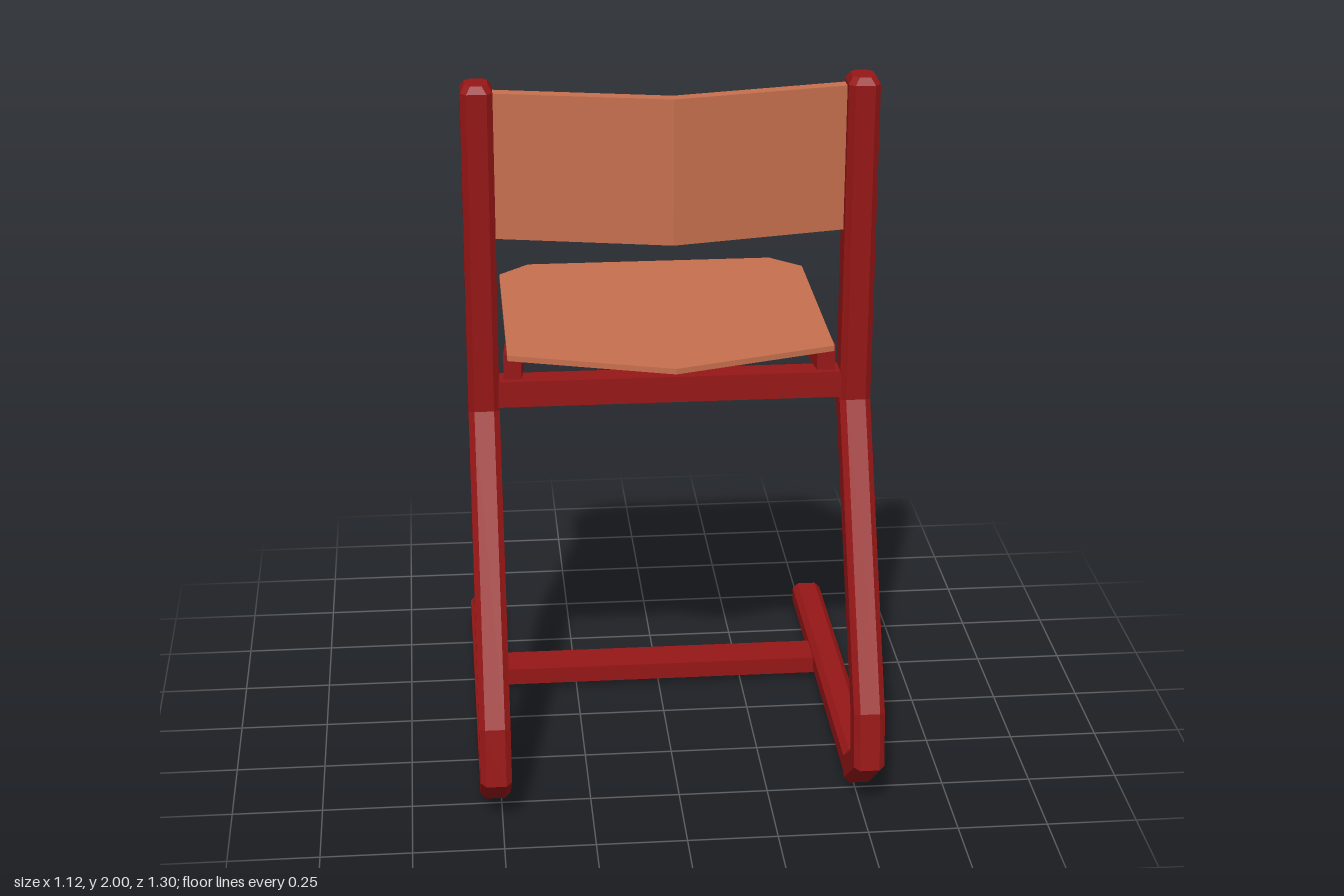
import * as THREE from 'three';

const red = new THREE.MeshStandardMaterial({ color: 0x961616, flatShading: true });
const wood = new THREE.MeshStandardMaterial({ color: 0xc8704f, flatShading: true });

function addMesh(group, name, geometry, material) {
  const mesh = new THREE.Mesh(geometry, material);
  mesh.name = name;
  group.add(mesh);
  return mesh;
}

function addBox(group, name, [w, h, d], [x, y, z]) {
  addMesh(group, name, new THREE.BoxGeometry(w, h, d), red).position.set(x, y, z);
}

// Horizontal plate: outline in [x, z], extruded from y0 upwards
function plate(points, y0, height, holes = []) {
  const flat = (list) => list.map(([x, z]) => new THREE.Vector2(x, -z));
  const shape = new THREE.Shape(flat(points));
  for (const hole of holes) shape.holes.push(new THREE.Path(flat(hole)));
  return new THREE.ExtrudeGeometry(shape, { depth: height, bevelEnabled: false })
    .rotateX(-Math.PI / 2)
    .translate(0, y0, 0);
}

// Bent bar with chamfered edges; each station gives its outer and inner edge [z, y]
function bentBar(stations, width) {
  const h = width / 2;
  const c = 0.016;
  const rings = stations.map(([oz, oy, iz, iy, inset = 0]) => {
    const len = Math.hypot(iz - oz, iy - oy);
    const lo = inset / len, hi = 1 - lo, e = c / len, w = h - inset;
    const section = [
      [-w + c, lo], [w - c, lo], [w, lo + e], [w, hi - e],
      [w - c, hi], [-w + c, hi], [-w, hi - e], [-w, lo + e],
    ];
    return section.map(([x, t]) => [x, oy + (iy - oy) * t, oz + (iz - oz) * t]);
  });
  const n = rings[0].length;
  const pos = [];
  const tri = (...corners) => corners.forEach((p) => pos.push(...p));
  for (let i = 0; i < rings.length - 1; i++) {
    for (let j = 0; j < n; j++) {
      const k = (j + 1) % n;
      tri(rings[i][j], rings[i + 1][j], rings[i + 1][k]);
      tri(rings[i][j], rings[i + 1][k], rings[i][k]);
    }
  }
  const first = rings[0], last = rings[rings.length - 1];
  for (let j = 1; j < n - 1; j++) {
    tri(first[0], first[j], first[j + 1]);
    tri(last[0], last[j + 1], last[j]);
  }
  const geometry = new THREE.BufferGeometry();
  geometry.setAttribute('position', new THREE.Float32BufferAttribute(pos, 3));
  geometry.computeVertexNormals();
  return geometry;
}

export function createModel() {
  const group = new THREE.Group();
  group.name = 'chair';

  // Side frames: upright, slanted leg, bent foot and floor runner
  const frame = bentBar([
    [0.255, 2.0, 0.15, 2.0, 0.012],
    [0.255, 1.98, 0.15, 1.98],
    [0.232, 1.075, 0.13, 1.05],
    [0.63, 0.3, 0.54, 0.265],
    [0.65, 0.135, 0.56, 0.165],
    [0.475, 0.0, 0.445, 0.09],
    [0.445, 0.013, 0.43, 0.09],
    [-0.65, 0.015, -0.65, 0.09],
  ], 0.086);
  addMesh(group, 'leftSideFrame', frame, red).position.x = 0.516;
  addMesh(group, 'rightSideFrame', frame, red).position.x = -0.516;

  // Cross bars between the side frames
  addBox(group, 'floorCrossBar', [0.98, 0.05, 0.115], [0, 0.043, -0.23]);
  addBox(group, 'seatCrossBar', [0.98, 0.075, 0.07], [0, 1.118, 0.185]);

  // Tapered U-shaped seat support: two rails and a rear bar
  const support = [
    [-0.46, 0.2], [-0.41, 0.2], [-0.352, -0.4], [0.352, -0.4],
    [0.41, 0.2], [0.46, 0.2], [0.4, -0.45], [-0.4, -0.45],
  ];
  addMesh(group, 'seatSupport', plate(support, 1.155, 0.075), red);

  // Seat panel with a pointed edge and two clipped corners
  const seat = [
    [-0.45, 0.25], [0, 0.39], [0.45, 0.25],
    [0.45, -0.425], [0.362, -0.51], [-0.362, -0.51], [-0.45, -0.425],
  ];
  addMesh(group, 'seat', plate(seat, 1.229, 0.016), wood);

  // V-shaped backrest, sheared to follow the lean of the uprights
  const backrest = plate([
    [-0.48, 0.215], [0, 0.315], [0.48, 0.215],
    [0.48, 0.175], [0, 0.277], [-0.48, 0.175],
  ], 1.565, 0.407);
  const p = backrest.attributes.position;
  for (let i = 0; i < p.count; i++) {
    p.setZ(i, p.getZ(i) - (1.972 - p.getY(i)) * 0.03);
  }
  backrest.computeVertexNormals();
  addMesh(group, 'backrest', backrest, wood);

  return group;
}
